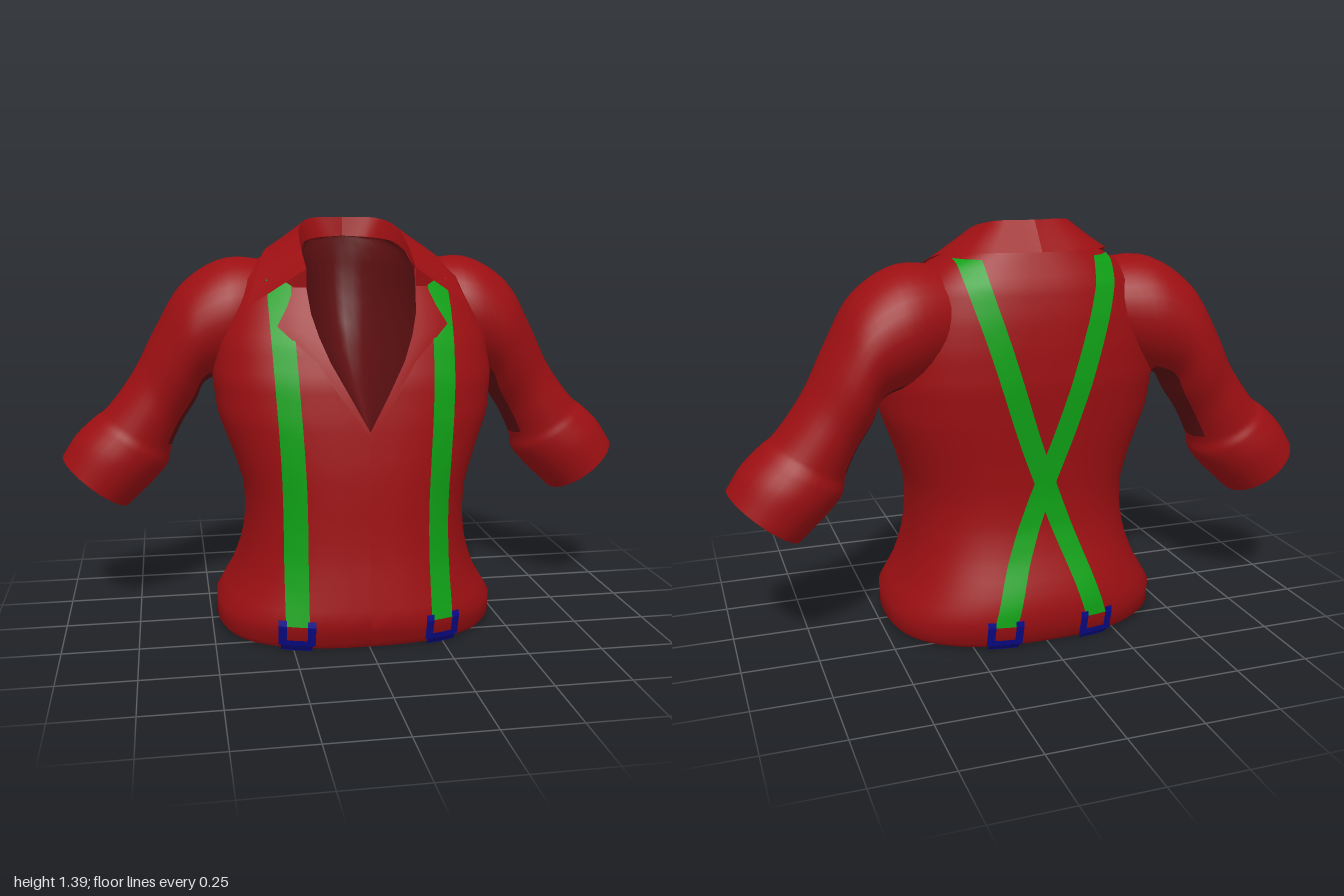
import * as THREE from 'three';

const V3 = (x, y, z) => new THREE.Vector3(x, y, z);
const material = (name, color) => {
  const m = new THREE.MeshStandardMaterial({ color, side: THREE.DoubleSide });
  m.name = name;
  return m;
};

// Piecewise linear lookup: rows are [key, value, value, ...]
function lookup(table, y, k) {
  let i = 0;
  while (i < table.length - 2 && y > table[i + 1][0]) i++;
  const a = table[i], b = table[i + 1];
  const t = THREE.MathUtils.clamp((y - a[0]) / (b[0] - a[0]), 0, 1);
  return a[k] + (b[k] - a[k]) * t;
}

// Torso sections: height, half width, front z, back z
const BODY = [
  [0.01, 0.465, 0.36, -0.355], [0.03, 0.48, 0.375, -0.375], [0.1, 0.48, 0.4, -0.395],
  [0.15, 0.45, 0.393, -0.393], [0.2, 0.42, 0.385, -0.38], [0.3, 0.387, 0.37, -0.34],
  [0.4, 0.375, 0.363, -0.315], [0.5, 0.38, 0.36, -0.31], [0.6, 0.41, 0.355, -0.315],
  [0.75, 0.465, 0.34, -0.328], [0.88, 0.48, 0.32, -0.34], [1.0, 0.465, 0.28, -0.338],
  [1.1, 0.43, 0.23, -0.33], [1.2, 0.38, 0.17, -0.31], [1.27, 0.3, 0.09, -0.275],
  [1.32, 0.2, -0.02, -0.25],
];
// Half width of the neck opening by height
const NECK = [[0.73, 0], [0.84, 0.06], [0.95, 0.12], [1.03, 0.152], [1.1, 0.172], [1.18, 0.18], [1.33, 0.18]];
const N = 2.5;

// z of the torso surface, side = 1 front, -1 back
function surf(x, y, side) {
  const hw = lookup(BODY, y, 1), f = lookup(BODY, y, 2), b = lookup(BODY, y, 3);
  const r = Math.min(1, Math.abs(x) / hw);
  return (f + b) / 2 + side * ((f - b) / 2) * Math.pow(1 - Math.pow(r, N), 1 / N);
}

// Surface through rows of points; pick(i, j) chooses the material group
function grid(rows, closed = false, pick = null) {
  const n = rows[0].length, lists = [[], []];
  for (let i = 0; i < rows.length - 1; i++) {
    for (let j = 0; j < (closed ? n : n - 1); j++) {
      const a = i * n + j, b = i * n + (j + 1) % n, c = a + n, d = b + n;
      lists[pick ? pick(i, j) : 0].push(a, b, d, a, d, c);
    }
  }
  const g = new THREE.BufferGeometry().setFromPoints(rows.flat());
  g.setIndex(lists.flat());
  if (pick) {
    g.addGroup(0, lists[0].length, 0);
    g.addGroup(lists[0].length, lists[1].length, 1);
  }
  g.computeVertexNormals();
  return g;
}

const fan = (ring, centre) => grid([ring, ring.map(() => centre.clone())], true);

// Rows running across from one edge line to another
const between = (a, b, steps, fix = p => p) =>
  Array.from({ length: steps + 1 }, (_, k) => a.map((p, i) => fix(p.clone().lerp(b[i], k / steps))));

// Flat band lying on the torso along [x, y] points
function band(points, width, side, lift) {
  const curve = new THREE.CatmullRomCurve3(points.map(p => V3(p[0], p[1], 0)));
  const rows = curve.getPoints(40).map(p => [-0.5, 0, 0.5].map(k => {
    const x = p.x + k * width;
    return V3(x, p.y, surf(x, p.y, side) + side * lift);
  }));
  return grid(rows);
}

export function createModel() {
  const red = material('shirt red', 0x9c0f12);
  const dark = material('lining dark red', 0x5c0f11);
  const green = material('strap green', 0x0fa016);
  const blue = material('clip blue', 0x0a0a8a);
  const model = new THREE.Group();
  const add = (name, geometry, mat) => {
    const mesh = new THREE.Mesh(geometry, mat);
    mesh.name = name;
    model.add(mesh);
  };

  // Torso: sections that open at the front above the neckline point
  const heights = [0.01, 0.03, 0.065];
  for (let i = 0; i <= 14; i++) heights.push(0.1 + 0.63 * i / 14);
  for (let i = 1; i <= 20; i++) heights.push(0.73 + 0.59 * i / 20);
  const torso = heights.map(y => {
    const hw = lookup(BODY, y, 1), f = lookup(BODY, y, 2), b = lookup(BODY, y, 3);
    const start = Math.asin(Math.min(1, Math.pow(lookup(NECK, y, 1) / hw, N / 2)));
    return Array.from({ length: 65 }, (_, j) => {
      const a = start + (2 * Math.PI - 2 * start) * j / 64;
      const s = Math.sin(a), c = Math.cos(a);
      return V3(hw * Math.sign(s) * Math.pow(Math.abs(s), 2 / N), y,
        (f + b) / 2 + (f - b) / 2 * Math.sign(c) * Math.pow(Math.abs(c), 2 / N));
    });
  });
  add('torso', grid(torso), red);
  add('hemBase', fan(torso[0], V3(0, 0.01, 0)), red);

  // Neck rim, from the point of the neckline up to the back
  const onChest = p => p.setZ(surf(p.x, p.y, 1) + 0.02);
  const lapelInner = NECK.slice(0, 6).map(([y, x]) => onChest(V3(x, y, 0)));
  const rimTop = [V3(0.18, 1.24, 0.17), V3(0.175, 1.29, 0.04), V3(0.15, 1.32, -0.08),
    V3(0.09, 1.33, -0.17), V3(0, 1.335, -0.2)];
  const depth = [[0.73, 0.34], [0.84, 0.06], [0.95, -0.08], [1.03, -0.14], [1.15, -0.19], [1.3, -0.2]];

  // Lining: hollow inside the neckline
  add('neckLining', grid([...lapelInner, ...rimTop].map(p =>
    Array.from({ length: 17 }, (_, j) => {
      const a = Math.PI * j / 16;
      return V3(p.x * Math.cos(a), p.y, p.z + (lookup(depth, p.y, 1) - p.z) * Math.sin(a));
    }))), dark);

  // Collar and lapel edges for one half
  const fold = [V3(0.18, 1.24, 0.195), V3(0.182, 1.315, 0.05), V3(0.167, 1.372, -0.08),
    V3(0.115, 1.398, -0.18), V3(0, 1.4, -0.21)];
  const collarEdge = [V3(0.37, 1.115, 0.155), V3(0.32, 1.235, 0.04), V3(0.28, 1.295, -0.13),
    V3(0.2, 1.305, -0.245), V3(0, 1.305, -0.285)];
  const lapelEdge = [[0.005, 0.722], [0.085, 0.83], [0.16, 0.945], [0.28, 1.06], [0.245, 1.12], [0.22, 1.18]]
    .map(([x, y]) => onChest(V3(x, y, 0)));
  const smooth = pts => new THREE.CatmullRomCurve3(pts).getPoints(16);

  // Sleeve sections: upper point, lower point, then z centre and z radius
  const sleeve = [
    [0.2, 1.24, 0.3, 0.92, -0.11, 0.15], [0.42, 1.265, 0.42, 0.87, -0.11, 0.205],
    [0.57, 1.18, 0.5, 0.84, -0.12, 0.2], [0.665, 1.03, 0.535, 0.77, -0.135, 0.18],
    [0.75, 0.87, 0.585, 0.69, -0.14, 0.15], [0.85, 0.74, 0.625, 0.6, -0.14, 0.148],
    [0.885, 0.715, 0.635, 0.55, -0.143, 0.16], [0.95, 0.655, 0.675, 0.5, -0.145, 0.167],
    [1.0, 0.58, 0.78, 0.4, -0.145, 0.158],
  ];
  const line = f => new THREE.CatmullRomCurve3(sleeve.map(f));
  const upper = line(r => V3(r[0], r[1], 0)), lower = line(r => V3(r[2], r[3], 0));
  const zs = line(r => V3(r[4], r[5], 0));

  for (const s of [1, -1]) {
    const side = s > 0 ? 'left' : 'right';
    const mirror = rows => rows.map(r => r.map(p => V3(p.x * s, p.y, p.z)));

    // Collar, its inner wall and the lapel
    add(side + 'Collar', grid(mirror(between(smooth(fold), smooth(collarEdge), 4))), red);
    add(side + 'CollarInside', grid(mirror(between(smooth(fold), smooth(rimTop), 1))), red);
    add(side + 'Lapel', grid(mirror(between(lapelInner, lapelEdge, 5, onChest))), red);
    add(side + 'LapelTop', grid(mirror(between([lapelInner[5], lapelEdge[5]],
      [fold[0], V3(0.25, 1.2, 0.17)], 1))), red);

    // Sleeve with a dark underside
    const rings = [];
    for (let i = 0; i <= 40; i++) {
      const u = upper.getPoint(i / 40), l = lower.getPoint(i / 40), z = zs.getPoint(i / 40);
      const mid = u.clone().add(l).multiplyScalar(0.5), half = u.sub(l).multiplyScalar(0.5);
      rings.push(Array.from({ length: 32 }, (_, j) => {
        const a = 2 * Math.PI * j / 32;
        return V3(s * (mid.x + half.x * Math.cos(a)), mid.y + half.y * Math.cos(a), z.x + z.y * Math.sin(a));
      }));
    }
    const under = (i, j) => (i > 5 && i < 24 && j > 12 && j < 19 ? 1 : 0);
    add(side + 'Sleeve', grid(rings, true, under), [red, dark]);
    add(side + 'CuffEnd', fan(rings[40], V3(s * 0.89, 0.49, -0.145)), red);

    // Straps: straight at the front, crossing at the back
    add(side + 'FrontStrap', band([[0.265, 1.21], [0.265, 1.1], [0.258, 0.9], [0.238, 0.5], [0.24, 0.1]]
      .map(([x, y]) => [x * s, y]), 0.075, 1, 0.012), green);
    add(side + 'BackStrap', band([[0.225, 1.285], [0.21, 1.2], [0.15, 1.0], [0.06, 0.72], [0, 0.56],
      [-0.06, 0.4], [-0.115, 0.25], [-0.16, 0.1]].map(([x, y]) => [x * s, y]), 0.075, -1, s > 0 ? 0.012 : 0.015), green);

    // U-shaped clips at the strap ends
    for (const [name, x, face] of [['FrontClip', 0.242, 1], ['BackClip', 0.16, -1]]) {
      for (const k of [-0.046, 0.046]) {
        add(side + name + 'Arm', band([[s * x + k, 0.12], [s * x + k, 0.03]], 0.026, face, 0.018), blue);
      }
      add(side + name + 'Bar', band([[s * x, 0.05], [s * x, 0.008]], 0.1, face, 0.018), blue);
    }
  }
  return model;
}
